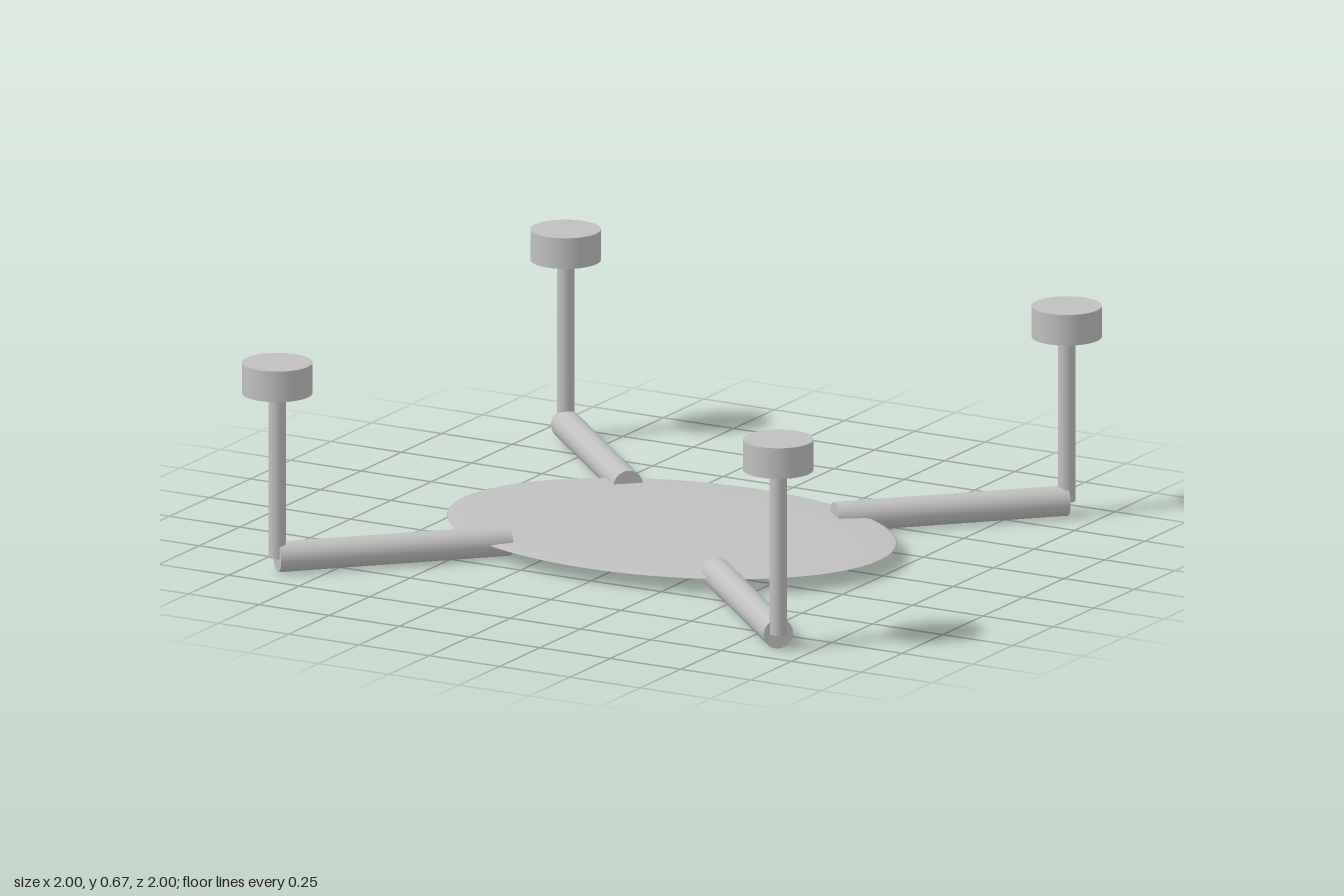
import * as THREE from 'three';

export function createModel() {
  const model = new THREE.Group();
  model.name = 'quadFrame';
  const grey = new THREE.MeshStandardMaterial({ color: 0xc0c0c0 });
  grey.name = 'plain grey';

  const axisY = 0.047;   // height of the arm axes and the plate
  const corner = 0.891;  // x and z of each post
  const armInner = 0.367; // x and z where each arm starts

  const add = (parent, name, geometry, x, y, z) => {
    const mesh = new THREE.Mesh(geometry, grey);
    mesh.name = name;
    mesh.position.set(x, y, z);
    parent.add(mesh);
    return mesh;
  };

  // Thin elliptical plate, very slightly domed on both faces
  const plate = new THREE.SphereGeometry(1, 64, 32);
  plate.scale(0.74, 0.012, 0.53);
  add(model, 'bodyPlate', plate, 0, axisY, 0);

  // Shared shapes for the four corners
  const armLength = (corner - armInner) * Math.SQRT2;
  const armGeometry = new THREE.CylinderGeometry(0.047, 0.047, armLength, 40);
  armGeometry.rotateX(Math.PI / 2);
  const postGeometry = new THREE.CylinderGeometry(0.027, 0.027, 0.525, 32);
  const capGeometry = new THREE.CylinderGeometry(0.109, 0.109, 0.098, 48);

  // Diagonal arm, upright post and round motor at each corner
  for (const sx of [1, -1]) {
    for (const sz of [1, -1]) {
      const unit = new THREE.Group();
      unit.name = (sz > 0 ? 'front' : 'back') + (sx > 0 ? 'Left' : 'Right') + 'Rotor';
      const mid = (corner + armInner) / 2;
      const arm = add(unit, 'arm', armGeometry, sx * mid, axisY, sz * mid);
      arm.rotation.y = Math.atan2(sx, sz);
      add(unit, 'post', postGeometry, sx * corner, axisY + 0.2625, sz * corner);
      add(unit, 'motorCap', capGeometry, sx * corner, 0.621, sz * corner);
      model.add(unit);
    }
  }
  return model;
}
